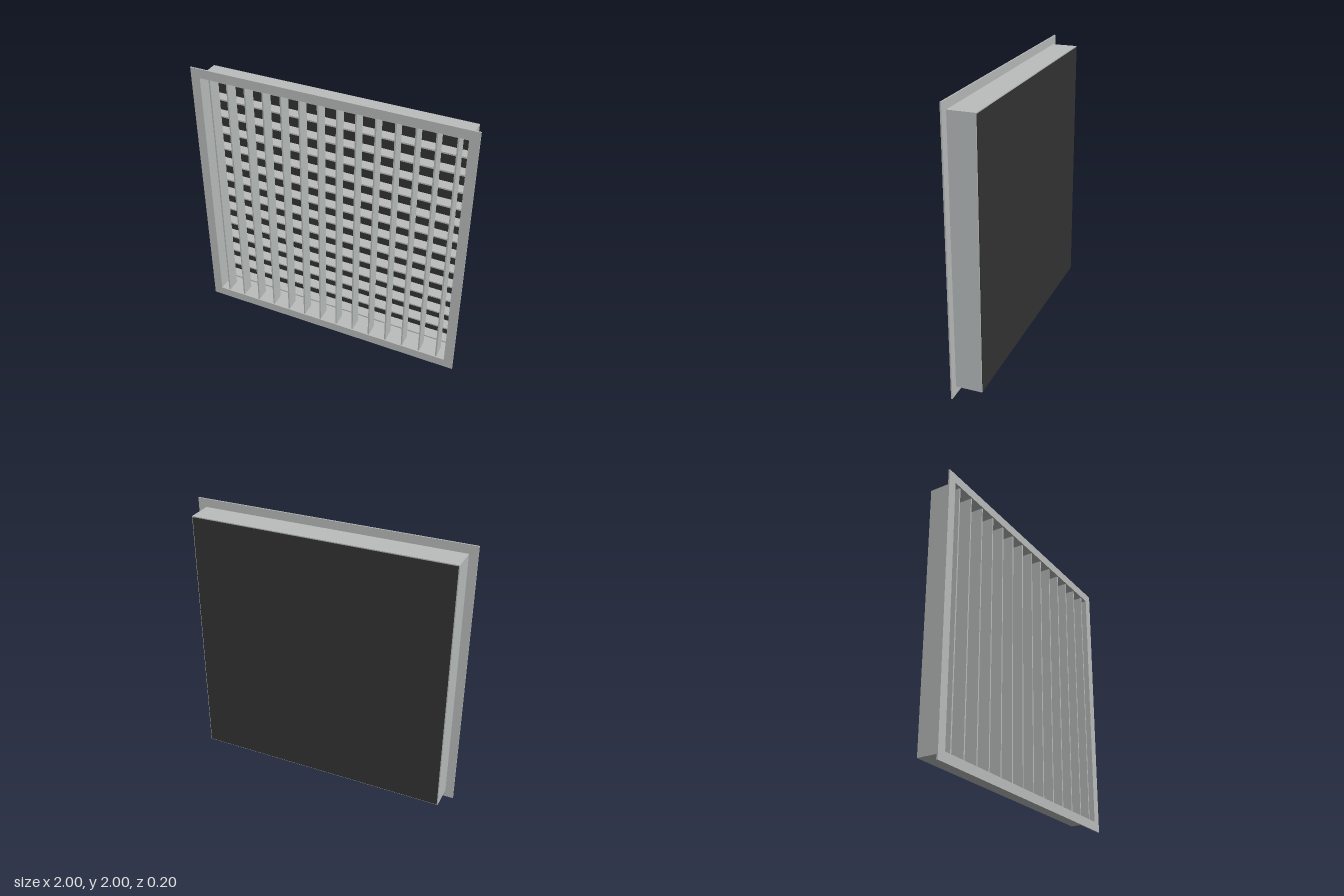
import * as THREE from 'three';

const OUTER = 1, DUCT = 0.94, OPEN = 0.933, PITCH = 2 / 15, THICK = 0.011;

export function createModel() {
  const model = new THREE.Group();
  model.name = 'ventGrille';
  const metal = new THREE.MeshStandardMaterial({ color: 0xbabebd });
  metal.name = 'light grey metal';
  const dark = new THREE.MeshStandardMaterial({ color: 0x333333 });
  dark.name = 'dark backing';

  const square = (Type, h) => new Type([
    new THREE.Vector2(-h, -h), new THREE.Vector2(h, -h),
    new THREE.Vector2(h, h), new THREE.Vector2(-h, h),
  ]);

  // Square ring between two half-widths, from z0 to z1
  function ring(name, outer, inner, z0, z1) {
    const shape = square(THREE.Shape, outer);
    shape.holes.push(square(THREE.Path, inner));
    const geo = new THREE.ExtrudeGeometry(shape, { depth: z1 - z0, bevelEnabled: false });
    const mesh = new THREE.Mesh(geo, metal);
    mesh.name = name;
    mesh.position.set(0, 1, z0);
    model.add(mesh);
  }

  function box(name, size, pos, material, parent) {
    const mesh = new THREE.Mesh(new THREE.BoxGeometry(...size), material);
    mesh.name = name;
    mesh.position.set(...pos);
    parent.add(mesh);
  }

  // Face flange and the duct collar behind it
  ring('flange', OUTER, OPEN, 0.09, 0.1);
  ring('collar', DUCT, OPEN, -0.095, 0.09);

  // Closed back
  box('backPanel', [2 * OPEN, 2 * OPEN, 0.007], [0, 1, -0.0965], dark, model);

  // Vertical blades in front, horizontal blades behind
  const vertical = new THREE.Group();
  vertical.name = 'verticalBlades';
  const horizontal = new THREE.Group();
  horizontal.name = 'horizontalBlades';
  model.add(vertical, horizontal);
  for (let i = 0; i < 14; i++) {
    const t = (i - 6.5) * PITCH;
    box('verticalBlade', [THICK, 2 * OPEN, 0.1], [t, 1, 0.04], metal, vertical);
    box('horizontalBlade', [2 * OPEN, THICK, 0.08], [0, 1 + t, -0.05], metal, horizontal);
  }
  return model;
}
